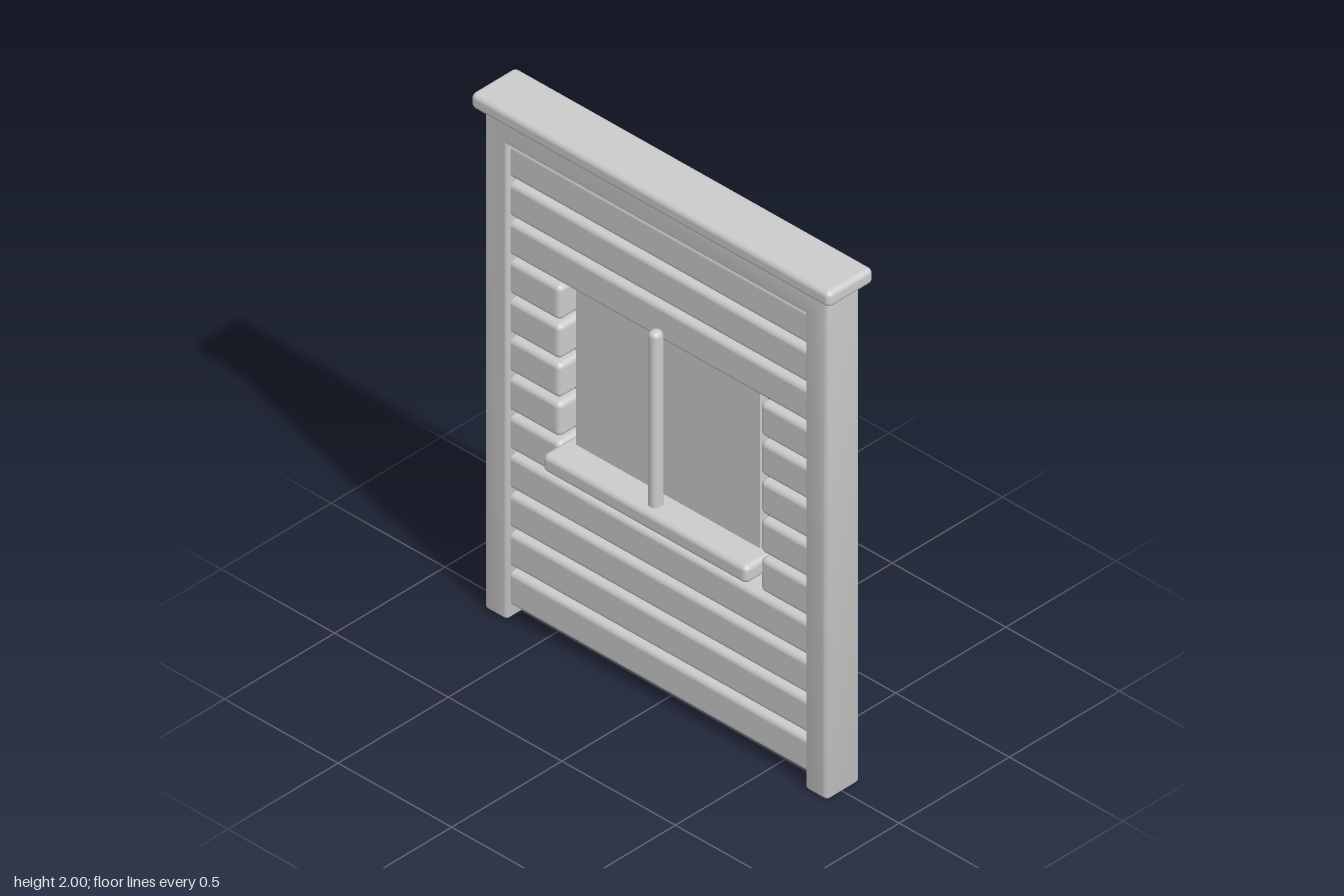
import * as THREE from 'three';
import { RoundedBoxGeometry } from 'three/addons/geometries/RoundedBoxGeometry.js';
import { toCreasedNormals } from 'three/addons/utils/BufferGeometryUtils.js';

const material = new THREE.MeshStandardMaterial({ color: 0xcccccc });

// Rounded board given by its extents on each axis
function board(name, [x0, x1], [y0, y1], [z0, z1], radius = 0.02) {
  const geometry = new RoundedBoxGeometry(x1 - x0, y1 - y0, z1 - z0, 3, radius);
  const mesh = new THREE.Mesh(geometry, material);
  mesh.position.set((x0 + x1) / 2, (y0 + y1) / 2, (z0 + z1) / 2);
  mesh.name = name;
  return mesh;
}

// Two posts and the top rail in one piece, with eased edges
function createFrame() {
  const outer = 0.755, inner = 0.655, top = 1.96, railBottom = 1.845;
  const depth = 0.15, bevel = 0.015, r = 0.018;
  const shape = new THREE.Shape();
  const foot = (x0, x1) => {
    const s = Math.sign(x1 - x0);
    shape.lineTo(x0, r);
    shape.quadraticCurveTo(x0, 0, x0 + s * r, 0);
    shape.lineTo(x1 - s * r, 0);
    shape.quadraticCurveTo(x1, 0, x1, r);
  };
  shape.moveTo(-outer, top);
  foot(-outer, -inner);
  shape.lineTo(-inner, railBottom);
  shape.lineTo(inner, railBottom);
  foot(inner, outer);
  shape.lineTo(outer, top);
  shape.closePath();
  const geometry = new THREE.ExtrudeGeometry(shape, {
    depth: depth - 2 * bevel, bevelThickness: bevel, bevelSize: bevel,
    bevelOffset: -bevel, bevelSegments: 3, curveSegments: 4,
  });
  geometry.translate(0, 0, -depth / 2 + bevel);
  const mesh = new THREE.Mesh(toCreasedNormals(geometry, 0.7), material);
  mesh.name = 'frame';
  return mesh;
}

export function createModel() {
  const group = new THREE.Group();
  group.name = 'plankWallWithWindow';

  group.add(createFrame());
  group.add(board('capBoard', [-0.79, 0.79], [1.94, 2], [-0.103, 0.103]));

  // Horizontal planks, split on either side of the window
  const planks = new THREE.Group();
  planks.name = 'planks';
  const z = [-0.057, 0.057];
  for (let i = 0; i < 12; i++) {
    const middle = 0.115 + i * 0.151;
    const y = [middle - 0.066, middle + 0.066];
    if (i >= 4 && i <= 8) {
      planks.add(board('shortPlankRight', [-0.69, -0.44], y, z));
      planks.add(board('shortPlankLeft', [0.44, 0.69], y, z));
    } else {
      planks.add(board('longPlank', [-0.69, 0.69], y, z));
    }
  }
  group.add(planks);

  // Window: pane, front mullion and a sill reaching through the wall
  const pane = new THREE.Mesh(new THREE.BoxGeometry(0.81, 0.68, 0.035), material);
  pane.position.set(0, 1.08, 0);
  pane.name = 'windowPane';
  group.add(pane);
  group.add(board('mullion', [-0.022, 0.022], [0.74, 1.455], [0.05, 0.098]));
  group.add(board('windowSill', [-0.45, 0.45], [0.712, 0.78], [-0.128, 0.128]));

  return group;
}
